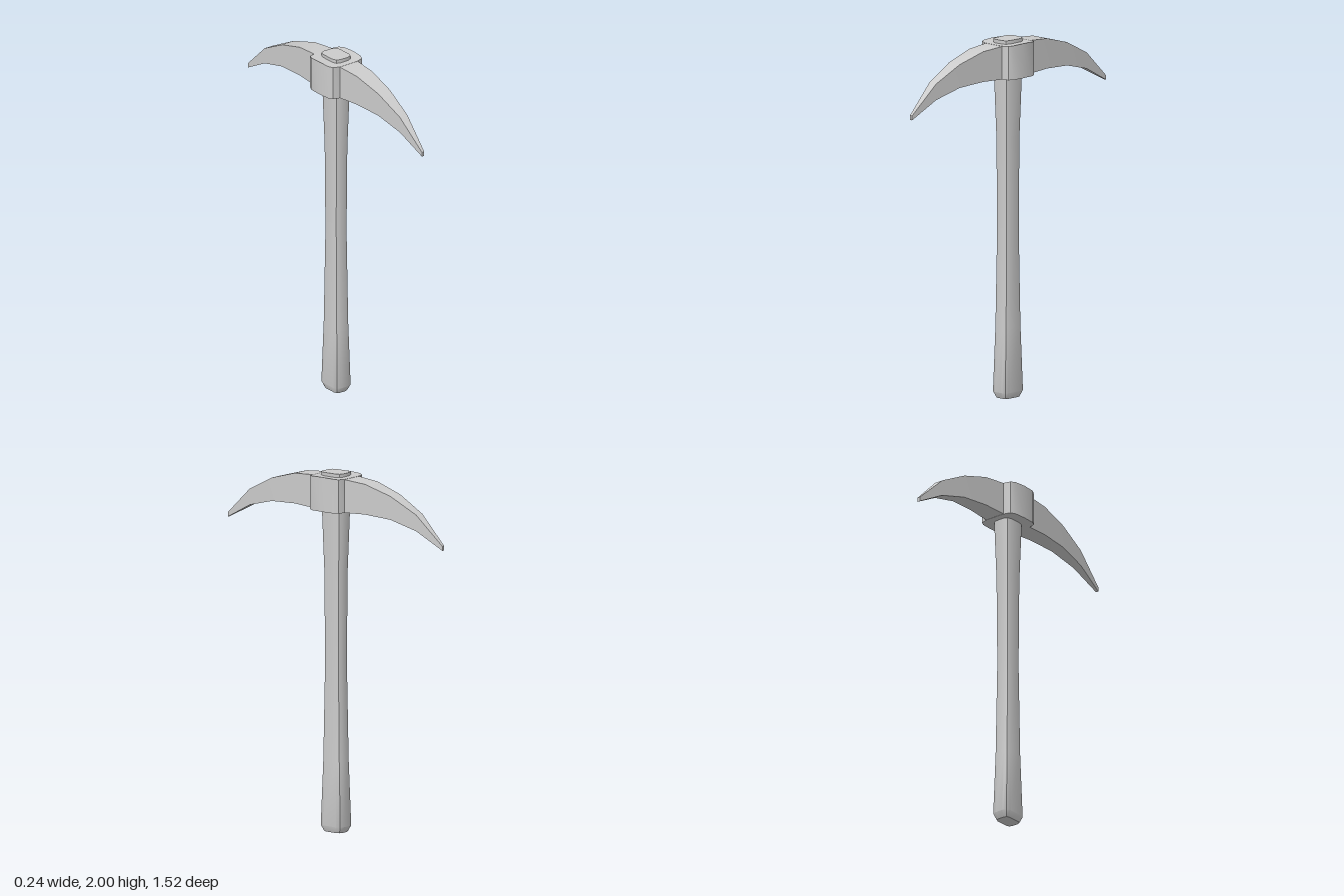
import * as THREE from 'three';
import { toCreasedNormals } from 'three/addons/utils/BufferGeometryUtils.js';

const material = new THREE.MeshStandardMaterial({ color: 0xcccccc });

// Skin a list of equal-length rings and cap both ends; rings run
// counter-clockwise when looking back from the last one.
function loft(rings, crease) {
  const n = rings[0].length;
  const index = [];
  for (let r = 0; r < rings.length - 1; r++) {
    for (let i = 0; i < n; i++) {
      const j = (i + 1) % n;
      const a = r * n + i, b = r * n + j;
      index.push(a, b, b + n, a, b + n, a + n);
    }
  }
  const last = (rings.length - 1) * n;
  for (let i = 1; i < n - 1; i++) {
    index.push(0, i + 1, i, last, last + i, last + i + 1);
  }
  const geometry = new THREE.BufferGeometry();
  geometry.setAttribute('position', new THREE.Float32BufferAttribute(rings.flat(2), 3));
  geometry.setIndex(index);
  return toCreasedNormals(geometry, crease);
}

// Horizontal rectangle with rounded corners, half sizes w (x) and d (z)
function roundedRing(y, w, d) {
  const radius = w * 0.55;
  const ring = [];
  for (let c = 0; c < 4; c++) {
    const sx = c === 0 || c === 3 ? 1 : -1;
    const sz = c < 2 ? -1 : 1;
    for (let k = 0; k < 3; k++) {
      const t = (c + k / 2) * Math.PI / 2;
      ring.push([
        sx * (w - radius) + radius * Math.cos(t),
        y,
        sz * (d - radius) - radius * Math.sin(t),
      ]);
    }
  }
  return ring;
}

function addMesh(group, name, geometry) {
  const mesh = new THREE.Mesh(geometry, material);
  mesh.name = name;
  group.add(mesh);
  return mesh;
}

export function createModel() {
  const pickaxe = new THREE.Group();
  pickaxe.name = 'pickaxe';

  // Handle: flared at the grip and at the head, rounded off at the foot
  const handleSections = [
    // y, half width, half depth
    [0, 0.042, 0.06],
    [0.035, 0.056, 0.078],
    [0.4, 0.048, 0.064],
    [0.95, 0.043, 0.054],
    [1.45, 0.046, 0.058],
    [1.79, 0.055, 0.07],
    [2.0, 0.058, 0.074],
  ];
  addMesh(pickaxe, 'handle', loft(handleSections.map((s) => roundedRing(...s)), 0.6));

  // Collar: block with clipped corners around the handle
  const quarter = [[0.118, 0], [0.114, 0.075], [0.1, 0.1], [0.062, 0.112]];
  const mirrored = quarter.slice().reverse().map(([x, z]) => [-x, z]);
  const half = [...quarter, ...mirrored];
  const outline = [...half, ...half.slice(1, -1).reverse().map(([x, z]) => [x, -z])];
  const collar = new THREE.ExtrudeGeometry(
    new THREE.Shape(outline.map(([x, z]) => new THREE.Vector2(x, z))),
    { depth: 0.193, bevelEnabled: false },
  );
  collar.rotateX(-Math.PI / 2);
  collar.translate(0, 1.793, 0);
  // The top falls slightly towards the blades
  const p = collar.attributes.position;
  for (let i = 0; i < p.count; i++) {
    if (p.getY(i) > 1.9) p.setY(i, p.getY(i) - 0.5 * p.getZ(i) ** 2);
  }
  addMesh(pickaxe, 'collar', toCreasedNormals(collar, 0.5));

  // Blades: two curved picks tapering to blunt points
  const bladeSections = [
    // z, bottom, top, half width
    [0.09, 1.793, 1.98, 0.064],
    [0.25, 1.8, 1.968, 0.054],
    [0.42, 1.79, 1.92, 0.041],
    [0.59, 1.745, 1.835, 0.026],
    [0.76, 1.655, 1.68, 0.008],
  ];
  const blade = loft(
    bladeSections.map(([z, low, high, w]) => [[w, low, z], [w, high, z], [-w, high, z], [-w, low, z]]),
    0.6,
  );
  addMesh(pickaxe, 'frontBlade', blade);
  addMesh(pickaxe, 'backBlade', blade).rotation.y = Math.PI;

  return pickaxe;
}
